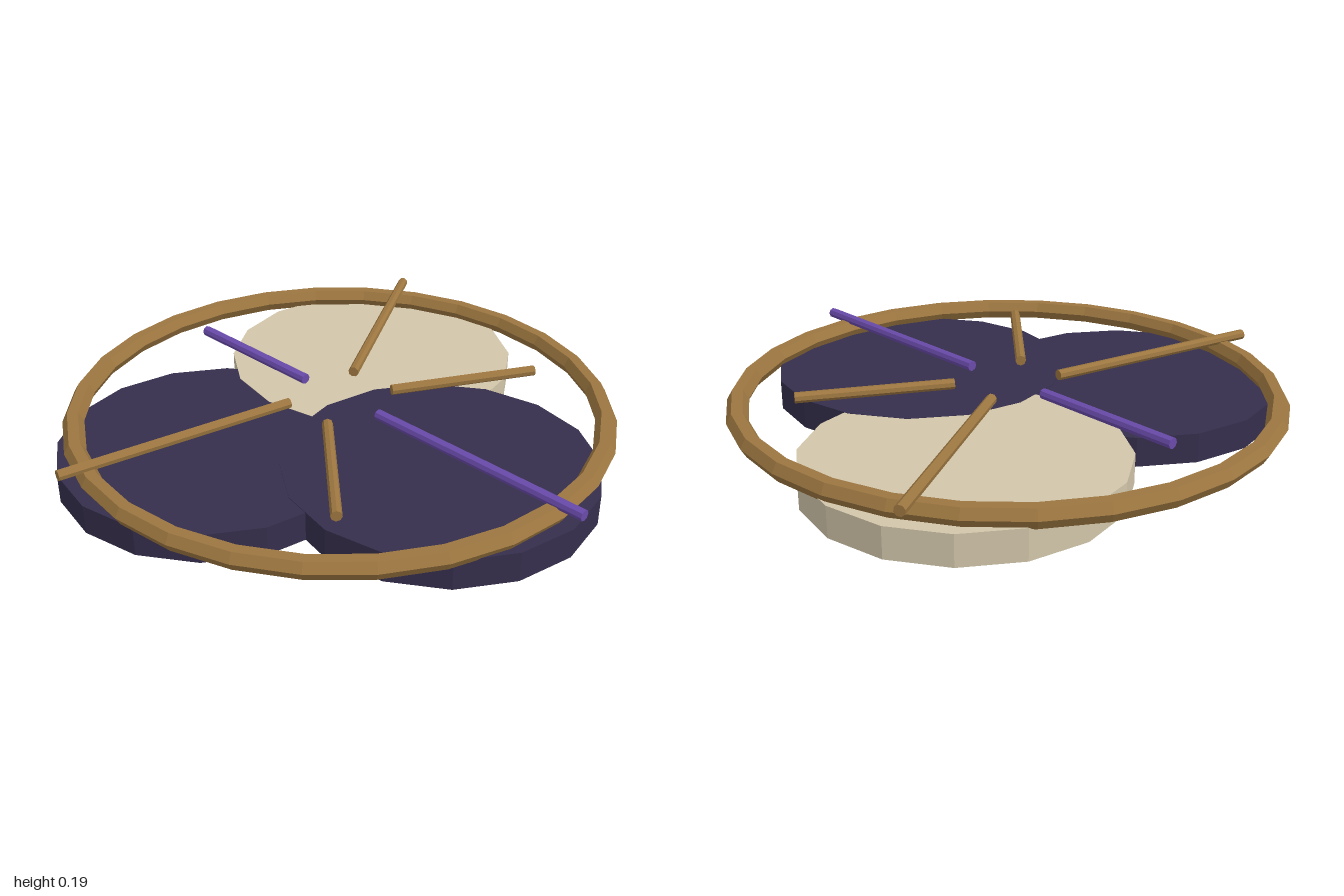
import * as THREE from 'three';

const mat = (color) => new THREE.MeshStandardMaterial({ color, flatShading: true });

export function createModel() {
  const group = new THREE.Group();
  const bronze = mat(0x9c7640);
  const cream = mat(0xd2c6aa);
  const indigo = mat(0x352e4c);
  const violet = mat(0x6a4bab);

  const add = (name, geometry, material, x, y, z) => {
    const mesh = new THREE.Mesh(geometry, material);
    mesh.name = name;
    mesh.position.set(x, y, z);
    group.add(mesh);
    return mesh;
  };

  // Three overlapping lobes; tiny height steps keep their caps from coinciding
  const lobes = [
    ['rightLobe', indigo, 0.435, -0.015, 0.001, 0.107],
    ['backLobe', cream, -0.27, -0.422, 0, 0.106],
    ['frontLobe', indigo, -0.195, 0.43, 0.002, 0.105],
  ];
  for (const [name, material, x, z, bottom, top] of lobes) {
    const disc = new THREE.CylinderGeometry(0.535, 0.535, top - bottom, 16);
    add(name, disc, material, x, (top + bottom) / 2, z);
  }

  // Outer hoop with a six-sided section
  const hoop = new THREE.TorusGeometry(0.93, 0.0375, 6, 28).rotateX(Math.PI / 2);
  add('hoop', hoop, bronze, -0.035, 0.132, -0.015);

  // Spokes lying on the hoop: inner x, z to outer x, z
  const spokes = [
    [violet, 0.15, -0.015, 1.0, -0.015],
    [bronze, 0.065, -0.175, 0.335, -0.65],
    [bronze, -0.125, -0.175, -0.54, -0.9],
    [violet, -0.21, -0.015, -0.77, -0.015],
    [bronze, -0.125, 0.145, -0.305, 0.975],
    [bronze, 0.07, 0.15, 0.475, 0.51],
  ];
  const up = new THREE.Vector3(0, 1, 0);
  spokes.forEach(([material, x0, z0, x1, z1], i) => {
    const direction = new THREE.Vector3(x1 - x0, 0, z1 - z0);
    const rod = new THREE.CylinderGeometry(0.019, 0.019, direction.length(), 8);
    const mesh = add(`spoke${i + 1}`, rod, material, (x0 + x1) / 2, 0.172, (z0 + z1) / 2);
    mesh.quaternion.setFromUnitVectors(up, direction.normalize());
  });

  return group;
}
